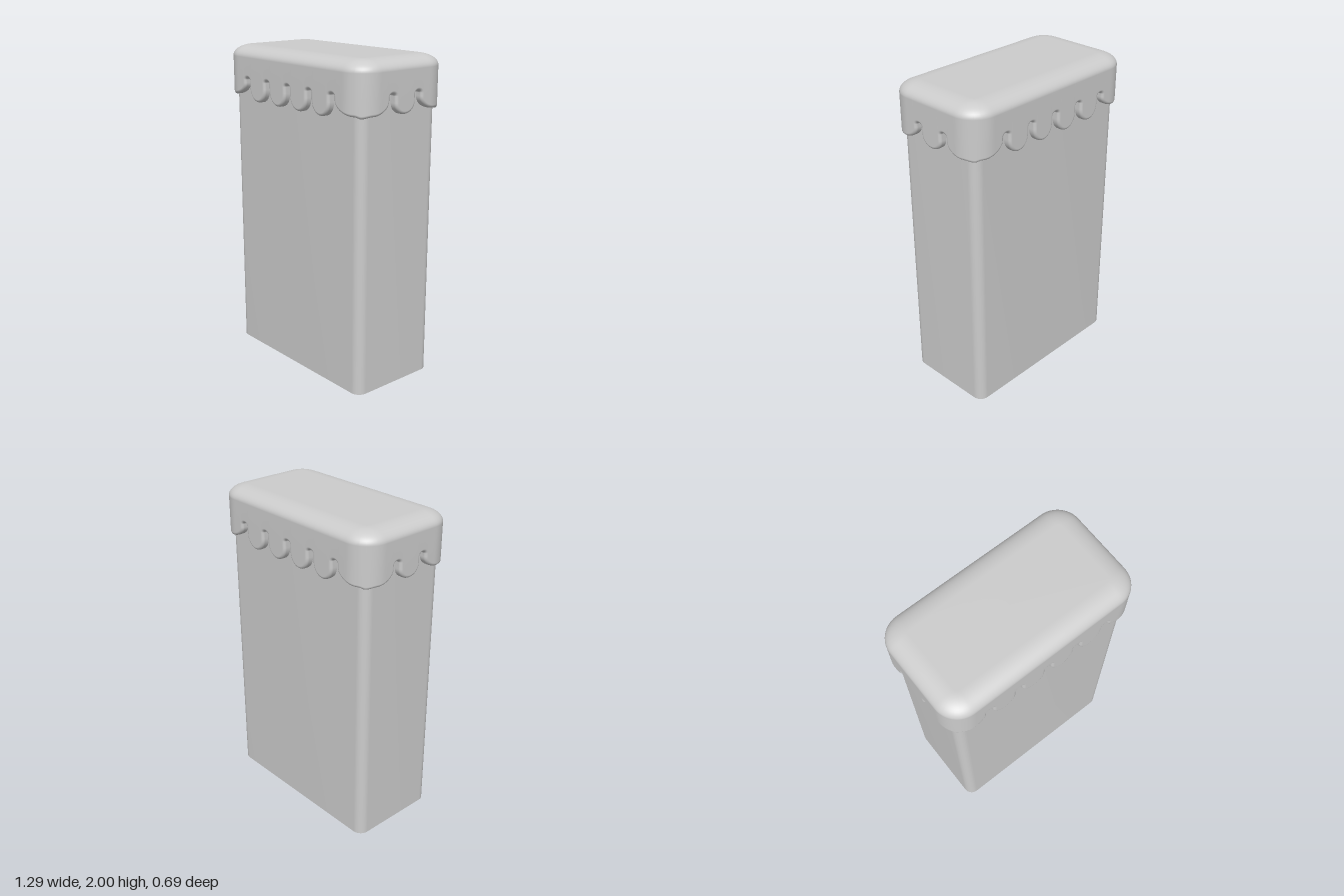
import * as THREE from 'three';
import { mergeVertices, toCreasedNormals } from 'three/addons/utils/BufferGeometryUtils.js';

const grey = new THREE.MeshStandardMaterial({ color: 0xcccccc });

// Lid plan: rounded rectangle with straight half-lengths A, B and corner radius R
const A = 0.495, B = 0.195, R = 0.15;
const ARC = R * Math.PI / 2;

// Point on the lid's perimeter at distance s, inset by d
function perimeter(s, d) {
  const total = 4 * (A + B + ARC);
  s = ((s % total) + total) % total;
  for (let k = 0; k < 4; k++) {
    const [half, other] = k % 2 ? [B, A] : [A, B];
    const q = k * Math.PI / 2;
    const along = Math.min(s, 2 * half) - half;
    const turn = q + Math.max(0, Math.min(s - 2 * half, ARC)) / R;
    if (s <= 2 * half + ARC || k === 3) {
      return [
        Math.sin(q) * other + Math.cos(q) * along + Math.sin(turn) * (R - d),
        Math.cos(q) * other - Math.sin(q) * along + Math.cos(turn) * (R - d),
      ];
    }
    s -= 2 * half + ARC;
  }
}

// Scalloped hem of one side, as [offset from the side's middle, height]
function hemSide(half, notches, tabDepth, lobeWidth) {
  const pts = [];
  const arc = (c, y, rx, ry, from, to, n) => {
    for (let i = 0; i <= n; i++) {
      const t = from + (to - from) * i / n;
      pts.push([c + rx * Math.cos(t), y + ry * Math.sin(t)]);
    }
  };
  // Corner lobe, shared with the neighbouring side
  const edge = notches[notches.length - 1] + 0.0225;
  const end = half + ARC / 2;
  const lobe = [];
  for (let i = 0; i <= 12; i++) {
    const t = i / 12 * Math.PI / 2;
    lobe.push([edge + lobeWidth * (1 - Math.cos(t)), 1.77 - 0.08 * Math.sin(t)]);
  }
  const start = edge + lobeWidth;
  for (let i = 1; i <= 8; i++) {
    const u = i / 8;
    lobe.push([start + (end - start) * u, 1.69 - 0.01 * u * u * (3 - 2 * u)]);
  }
  lobe.slice(0, -1).reverse().forEach(([x, y]) => pts.push([-x, y]));
  notches.forEach((c, i) => {
    arc(c, 1.79, 0.0225, 0.015, Math.PI, 0, 10);
    if (i < notches.length - 1) arc(c + 0.1, 1.75, 0.0775, tabDepth, Math.PI, 2 * Math.PI, 20);
  });
  return pts.concat(lobe);
}

// Lid: domed top, wall and rolled scalloped hem in one grid
function lidGeometry() {
  const hem = [];
  let s0 = 0;
  for (let k = 0; k < 4; k++) {
    const half = k % 2 ? B : A;
    const side = k % 2 ? hemSide(B, [-0.1, 0.1], 0.069, 0.12)
      : hemSide(A, [-0.4, -0.2, 0, 0.2, 0.4], 0.087, 0.15);
    side.forEach(([x, y]) => hem.push([s0 + half + x, y]));
    s0 += 2 * half + ARC;
  }
  const n = hem.length, roll = 0.018, steps = 6, domeSteps = 12;
  const pos = [], index = [];
  let rows = 0;
  for (let j = 0; j <= n; j++) {
    const wrap = i => {
      const [s, y] = hem[(i + n) % n];
      return [s + Math.floor(i / n) * s0, y];
    };
    const [s, y] = wrap(j), p = wrap(j - 1), q = wrap(j + 1);
    const len = Math.hypot(q[0] - p[0], q[1] - p[1]);
    const ns = -(q[1] - p[1]) / len, ny = (q[0] - p[0]) / len;
    const column = [[0, 2, 0]];
    const add = (ps, py, d) => {
      const [x, z] = perimeter(ps, d);
      column.push([x, py, z]);
    };
    for (let i = 0; i <= domeSteps; i++) {
      const t = i / domeSteps * Math.PI / 2;
      add(s + ns * roll, 1.93 + 0.07 * Math.cos(t), 0.13 * (1 - Math.sin(t)));
    }
    for (let i = 0; i <= steps; i++) {
      const t = i / steps * Math.PI / 2, inset = roll * (1 - Math.sin(t));
      add(s + ns * inset, y + ny * inset, roll * (1 - Math.cos(t)));
    }
    add(s, y, 0.06);
    rows = column.length;
    column.forEach(v => pos.push(...v));
  }
  for (let j = 0; j < n; j++) {
    for (let i = 0; i < rows - 1; i++) {
      const a = j * rows + i, b = a + rows;
      index.push(a, a + 1, b, b, a + 1, b + 1);
    }
  }
  let g = new THREE.BufferGeometry();
  g.setAttribute('position', new THREE.Float32BufferAttribute(pos, 3));
  g.setIndex(index);
  g = mergeVertices(g, 1e-5);
  g.computeVertexNormals();
  return g;
}

// Body: tall block with rounded upright edges
function bodyGeometry() {
  const w = 0.6, d = 0.3, r = 0.06;
  const shape = new THREE.Shape();
  shape.absarc(w - r, d - r, r, 0, Math.PI / 2);
  shape.absarc(-w + r, d - r, r, Math.PI / 2, Math.PI);
  shape.absarc(-w + r, -d + r, r, Math.PI, 1.5 * Math.PI);
  shape.absarc(w - r, -d + r, r, 1.5 * Math.PI, 2 * Math.PI);
  const g = new THREE.ExtrudeGeometry(shape, { depth: 1.95, bevelEnabled: false, curveSegments: 10 });
  g.rotateX(-Math.PI / 2);
  return toCreasedNormals(g, 0.6);
}

export function createModel() {
  const model = new THREE.Group();
  const body = new THREE.Mesh(bodyGeometry(), grey);
  body.name = 'body';
  const lid = new THREE.Mesh(lidGeometry(), grey);
  lid.name = 'scallopedLid';
  model.add(body, lid);
  return model;
}
